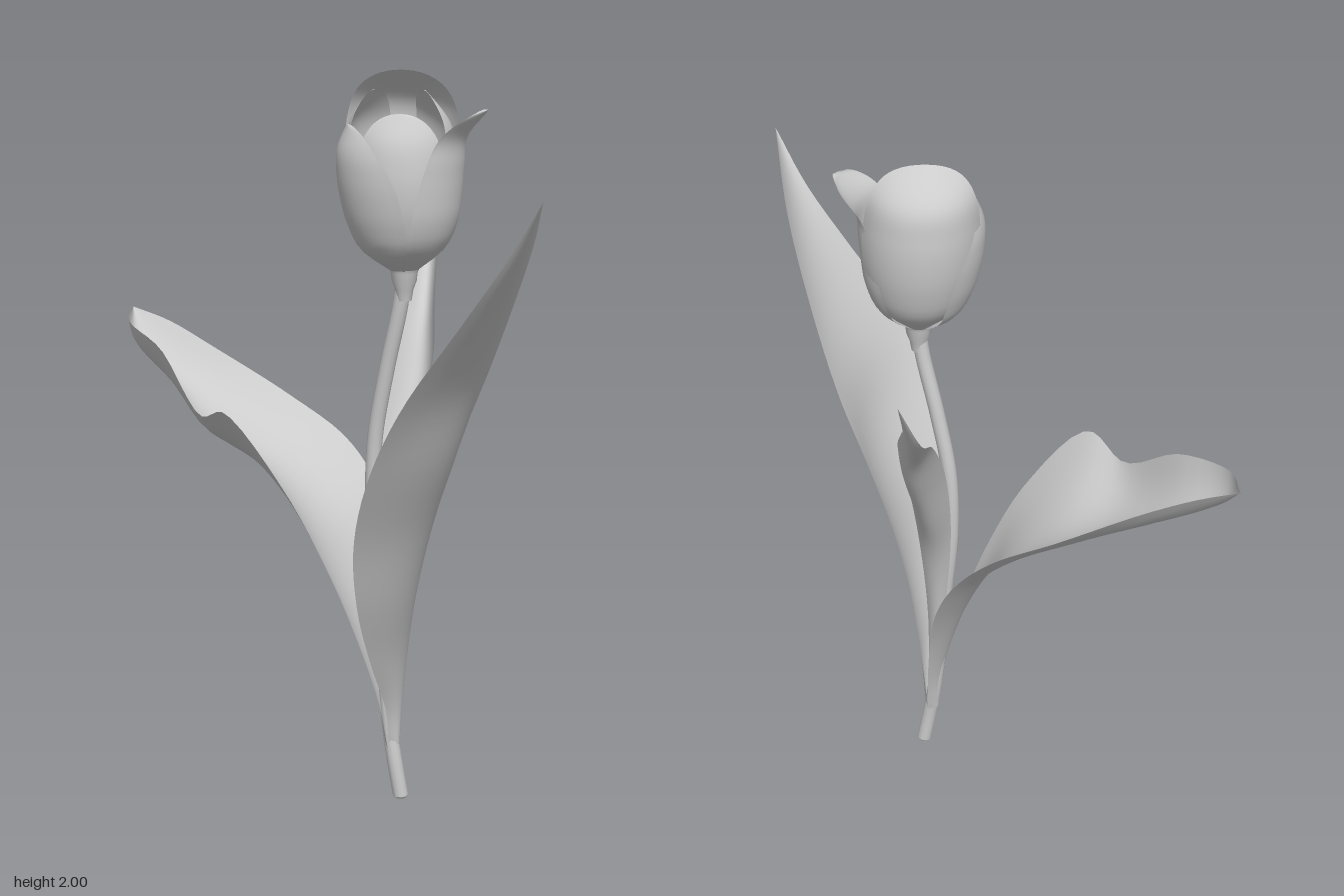
import * as THREE from 'three';

const V = (p) => new THREE.Vector3(...p);
const material = new THREE.MeshStandardMaterial({ color: 0xcccccc, side: THREE.DoubleSide });

// Smooth sheet from a function of u (across) and v (along), both 0..1
function sheet(name, nu, nv, point) {
  const pos = [], idx = [];
  for (let j = 0; j <= nv; j++)
    for (let i = 0; i <= nu; i++) pos.push(...point(i / nu, j / nv).toArray());
  for (let j = 0; j < nv; j++)
    for (let i = 0; i < nu; i++) {
      const a = j * (nu + 1) + i, b = a + nu + 1;
      idx.push(a, a + 1, b, a + 1, b + 1, b);
    }
  const g = new THREE.BufferGeometry();
  g.setAttribute('position', new THREE.Float32BufferAttribute(pos, 3));
  g.setIndex(idx);
  g.computeVertexNormals();
  const m = new THREE.Mesh(g, material);
  m.name = name;
  return m;
}

// Leaf spanned by two edge curves and a midrib, bowed across its width
function leaf(name, edgeA, midrib, edgeB) {
  const [a, m, b] = [edgeA, midrib, edgeB].map((c) => new THREE.CatmullRomCurve3(c.map(V)));
  return sheet(name, 12, 44, (u, v) =>
    a.getPoint(v).multiplyScalar((1 - u) * (1 - 2 * u))
      .addScaledVector(m.getPoint(v), 4 * u * (1 - u))
      .addScaledVector(b.getPoint(v), u * (2 * u - 1)));
}

// Cupped petal: azimuth and half width in degrees, radii listed from base to tip.
// Above its belly the cross-section keeps its curvature and only shifts, so the tip stays round.
function petal(name, azimuth, halfWidth, top, radii, blunt) {
  const profile = new THREE.CatmullRomCurve3(radii.map((r, i) => new THREE.Vector3(r, i / (radii.length - 1), 0)));
  const rad = Math.PI / 180, belly = profile.getPoint(0.6).x;
  const c = Math.cos(azimuth * rad), s = Math.sin(azimuth * rad);
  return sheet(name, 18, 30, (u, v) => {
    const side = u * 2 - 1, t = 1 - (1 - v) ** 1.6;
    const p = profile.getPoint(t);
    const bend = t < 0.6 ? p.x : Math.max(p.x, belly);
    const ang = side * halfWidth * rad * Math.sqrt(Math.max(0, 1 - t ** blunt));
    const out = p.x - bend * (1 - Math.cos(ang)) - 0.05 * p.x * side * side;
    const across = bend * Math.sin(ang);
    return new THREE.Vector3(0.175 - 0.015 * p.y + out * c - across * s,
      1.465 + (top - 1.465) * p.y, 0.125 + out * s + across * c);
  });
}

function tube(name, points, radius, segments, sides) {
  const m = new THREE.Mesh(
    new THREE.TubeGeometry(new THREE.CatmullRomCurve3(points.map(V)), segments, radius, sides), material);
  m.name = name;
  return m;
}

export function createModel() {
  const model = new THREE.Group();
  model.name = 'tulip';

  // Stem with rounded foot and a flared neck under the flower
  model.add(tube('stem', [[0.17, 0.01, 0.13], [0.155, 0.1, 0.135], [0.138, 0.2, 0.135], [0.115, 0.4, 0.13],
    [0.095, 0.6, 0.125], [0.077, 0.8, 0.125], [0.082, 1, 0.125], [0.12, 1.2, 0.125], [0.163, 1.38, 0.125],
    [0.177, 1.48, 0.125]], 0.021, 60, 12));
  const foot = new THREE.Mesh(new THREE.SphereGeometry(0.02, 12, 8), material);
  foot.name = 'stemFoot';
  foot.scale.y = 0.5;
  foot.position.set(0.17, 0.01, 0.13);
  const neck = new THREE.Mesh(new THREE.LatheGeometry(
    [[0.02, 0], [0.025, 0.03], [0.034, 0.055], [0.036, 0.075], [0.04, 0.085]].map((p) => new THREE.Vector2(...p)), 16), material);
  neck.name = 'flowerNeck';
  neck.position.set(0.175, 1.395, 0.125);
  model.add(foot, neck);

  // Broad upright leaf on the left
  model.add(leaf('leftLeaf',
    [[0.145, 0.14, 0.15], [0.155, 0.27, 0.185], [0.17, 0.42, 0.28], [0.195, 0.6, 0.385], [0.235, 0.8, 0.465],
      [0.315, 1, 0.52], [0.425, 1.2, 0.535], [0.575, 1.42, 0.5], [0.7, 1.6, 0.48], [0.805, 1.75, 0.5]],
    [[0.165, 0.14, 0.135], [0.172, 0.27, 0.14], [0.195, 0.42, 0.18], [0.245, 0.6, 0.23], [0.305, 0.8, 0.26],
      [0.385, 1, 0.29], [0.455, 1.2, 0.31], [0.575, 1.4, 0.34], [0.7, 1.585, 0.41], [0.805, 1.75, 0.5]],
    [[0.15, 0.14, 0.115], [0.155, 0.27, 0.1], [0.165, 0.42, 0.085], [0.19, 0.6, 0.08], [0.235, 0.8, 0.07],
      [0.31, 1, 0.07], [0.405, 1.2, 0.085], [0.525, 1.4, 0.165], [0.665, 1.6, 0.3], [0.805, 1.75, 0.5]]));

  // Drooping leaf on the right, its front edge kicked up in a fold and again near the tip
  model.add(leaf('rightLeaf',
    [[0.145, 0.14, 0.11], [0.13, 0.28, 0.075], [0.095, 0.47, 0.02], [0.04, 0.65, -0.05], [-0.04, 0.8, -0.093],
      [-0.16, 0.93, -0.112], [-0.34, 1.04, -0.09], [-0.56, 1.165, -0.03], [-0.7, 1.235, 0], [-0.805, 1.27, 0.03]],
    [[0.125, 0.14, 0.135], [0.112, 0.28, 0.13], [0.07, 0.45, 0.13], [0.01, 0.6, 0.135], [-0.085, 0.76, 0.14],
      [-0.22, 0.88, 0.15], [-0.4, 0.97, 0.14], [-0.59, 1.085, 0.11], [-0.735, 1.18, 0.085], [-0.805, 1.27, 0.03]],
    [[0.145, 0.14, 0.155], [0.13, 0.28, 0.18], [0.095, 0.47, 0.235], [0.04, 0.66, 0.29], [-0.06, 0.88, 0.345],
      [-0.23, 1.085, 0.38], [-0.36, 1.055, 0.32], [-0.56, 1.2, 0.225], [-0.735, 1.25, 0.14], [-0.805, 1.27, 0.03]]));

  // Narrow leaf arching backwards
  model.add(leaf('backLeaf',
    [[0.13, 0.2, 0.12], [0.09, 0.5, 0.1], [0.042, 0.8, 0.045], [0.012, 1, -0.02], [-0.01, 1.18, -0.1],
      [-0.035, 1.34, -0.22], [-0.1, 1.5, -0.43], [-0.095, 1.68, -0.545]],
    [[0.14, 0.2, 0.11], [0.11, 0.5, 0.085], [0.09, 0.78, 0.03], [0.075, 0.97, -0.06], [0.06, 1.13, -0.15],
      [0.02, 1.28, -0.235], [-0.065, 1.48, -0.42], [-0.095, 1.68, -0.545]],
    [[0.15, 0.2, 0.12], [0.14, 0.5, 0.1], [0.138, 0.8, 0.045], [0.14, 1.04, -0.02], [0.13, 1.22, -0.1],
      [0.065, 1.35, -0.21], [-0.035, 1.51, -0.4], [-0.095, 1.68, -0.545]]));

  // Flower: three outer and three inner petals, the tall back one curling over the cup
  const flower = new THREE.Group();
  flower.name = 'flower';
  flower.add(
    petal('outerPetalFront', 135, 78, 1.865, [0.02, 0.112, 0.146, 0.163, 0.171, 0.168, 0.14], 3),
    petal('outerPetalBack', -118, 72, 2, [0.02, 0.115, 0.15, 0.165, 0.166, 0.15, 0.06], 5),
    petal('outerPetalLeft', -12, 64, 1.91, [0.02, 0.112, 0.147, 0.16, 0.168, 0.18, 0.245], 1.7),
    petal('innerPetalFront', 58, 56, 1.9, [0.018, 0.105, 0.138, 0.152, 0.153, 0.14, 0.1], 4),
    petal('innerPetalBack', -52, 60, 1.95, [0.018, 0.107, 0.138, 0.15, 0.148, 0.13, 0.07], 4),
    petal('innerPetalRight', 178, 58, 1.95, [0.018, 0.105, 0.138, 0.152, 0.151, 0.135, 0.08], 4));

  // Pistil and ring of stamens inside the cup
  flower.add(tube('pistil', [[0.175, 1.47, 0.125], [0.172, 1.6, 0.125], [0.17, 1.7, 0.125]], 0.014, 6, 8));
  for (let i = 0; i < 6; i++) {
    const c = Math.cos(i * Math.PI / 3), s = Math.sin(i * Math.PI / 3);
    const at = (r, y) => [0.174 + r * c, y, 0.125 + r * s];
    flower.add(tube('stamen', [at(0.01, 1.48), at(0.03, 1.57), at(0.037, 1.65)], 0.004, 6, 6));
    const anther = new THREE.Mesh(new THREE.SphereGeometry(0.008, 8, 6), material);
    anther.name = 'anther';
    anther.scale.y = 2.5;
    anther.position.set(...at(0.037, 1.66));
    flower.add(anther);
  }
  model.add(flower);
  return model;
}
